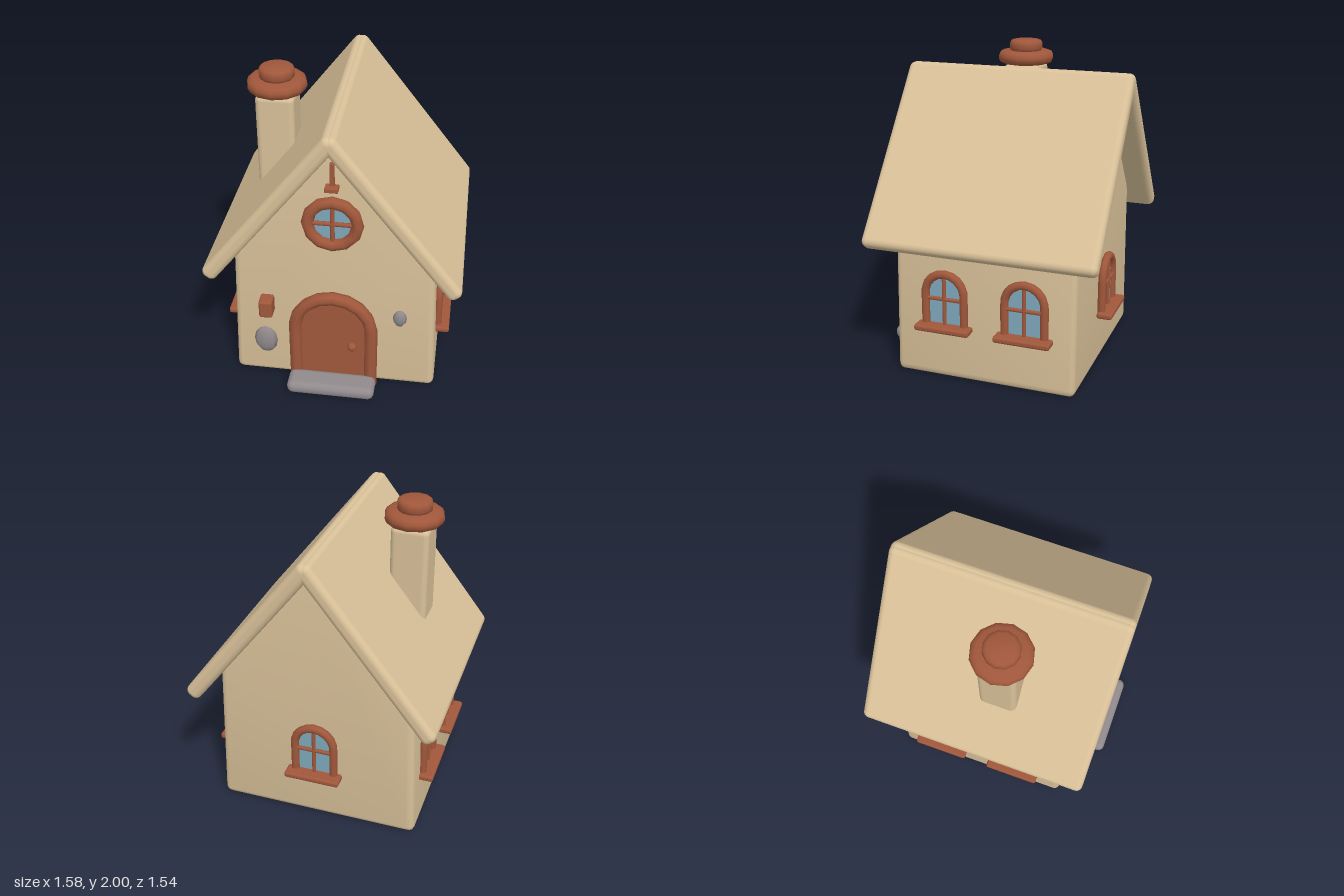
import * as THREE from 'three';
import { toCreasedNormals } from 'three/addons/utils/BufferGeometryUtils.js';
import { RoundedBoxGeometry } from 'three/addons/geometries/RoundedBoxGeometry.js';

const material = (name, color) => {
  const m = new THREE.MeshStandardMaterial({ color });
  m.name = name;
  return m;
};

// Upside-down U: two legs joined by a half circle
class ArchCurve extends THREE.Curve {
  constructor(radius, bottom, spring) {
    super();
    Object.assign(this, { radius, bottom, spring });
  }
  getPoint(t, target = new THREE.Vector3()) {
    const { radius: r, bottom, spring } = this;
    const leg = spring - bottom, arc = Math.PI * r;
    const d = t * (2 * leg + arc);
    if (d < leg) return target.set(r, bottom + d, 0);
    if (d > leg + arc) return target.set(-r, spring - (d - leg - arc), 0);
    const a = (d - leg) / r;
    return target.set(r * Math.cos(a), spring + r * Math.sin(a), 0);
  }
}

function archShape(r, bottom, spring) {
  const s = new THREE.Shape();
  s.moveTo(-r, bottom);
  s.lineTo(r, bottom);
  s.lineTo(r, spring);
  s.absarc(0, spring, r, 0, Math.PI, false);
  s.closePath();
  return s;
}

// Closed outline with softened corners
function roundedPolygon(points, r) {
  const v = points.map(([x, y]) => new THREE.Vector2(x, y));
  const toward = (a, b) => a.clone().add(b.clone().sub(a).setLength(r));
  const s = new THREE.Shape();
  v.forEach((p, i) => {
    const from = toward(p, v[(i + v.length - 1) % v.length]);
    const to = toward(p, v[(i + 1) % v.length]);
    if (i === 0) s.moveTo(from.x, from.y);
    else s.lineTo(from.x, from.y);
    s.quadraticCurveTo(p.x, p.y, to.x, to.y);
  });
  s.closePath();
  return s;
}

export function createModel() {
  const plaster = material('tan plaster', 0xd9c199);
  const wood = material('reddish brown', 0xa0573b);
  const glass = material('blue glass', 0x7fa9bc);
  const stone = material('grey stone', 0x918a8c);

  const house = new THREE.Group();
  house.name = 'cottage';

  const add = (parent, name, geometry, mat, x = 0, y = 0, z = 0) => {
    const m = new THREE.Mesh(geometry, mat);
    m.name = name;
    m.position.set(x, y, z);
    parent.add(m);
    return m;
  };
  const box = (w, h, d, r) => new RoundedBoxGeometry(w, h, d, 3, r);

  // Tube frame with closed feet
  const archFrame = (parent, name, r, tube, bottom, spring, z) => {
    const g = new THREE.TubeGeometry(new ArchCurve(r, bottom, spring), 18, tube, 8, false);
    add(parent, name, g, wood, 0, 0, z);
    for (const side of [-1, 1]) {
      add(parent, name + 'Foot', new THREE.CircleGeometry(tube, 8), wood, side * r, bottom, z)
        .rotation.x = Math.PI / 2;
    }
  };

  // Walls: slightly tapered gable block
  const outline = roundedPolygon(
    [[-0.655, 0], [0.655, 0], [0.62, 1.0], [0, 1.8], [-0.62, 1.0]], 0.05);
  const walls = new THREE.ExtrudeGeometry(outline, {
    depth: 1.1, bevelThickness: 0.035, bevelSize: 0.035, bevelOffset: -0.035,
    bevelSegments: 3, curveSegments: 4,
  });
  add(house, 'walls', toCreasedNormals(walls, 0.7), plaster, 0, 0, -0.575);

  // Roof slabs
  for (const side of [-1, 1]) {
    const slab = add(house, side < 0 ? 'rightRoof' : 'leftRoof',
      box(1.28, 0.1, 1.49, 0.04), plaster, side * 0.3735, 1.36, -0.025);
    slab.rotation.z = -side * Math.atan2(1.01, 0.787);
  }

  // Chimney with two rounded caps
  const chimney = new THREE.Group();
  chimney.name = 'chimney';
  chimney.position.set(-0.41, 0, 0.07);
  house.add(chimney);
  add(chimney, 'chimneyStack', box(0.24, 0.84, 0.24, 0.035), plaster, 0, 1.425, 0);
  const cap = (r, h, b) => {
    const profile = [[0, 0], [r - b, 0], [r - b * 0.3, b * 0.3], [r, b],
      [r, h - b], [r - b * 0.3, h - b * 0.3], [r - b, h], [0, h]];
    const g = new THREE.LatheGeometry(profile.map(([x, y]) => new THREE.Vector2(x, y)), 12);
    return toCreasedNormals(g, 0.9);
  };
  add(chimney, 'chimneyCap', cap(0.185, 0.085, 0.035), wood, 0, 1.845, 0);
  add(chimney, 'chimneyPot', cap(0.11, 0.08, 0.025), wood, 0, 1.92, 0);

  // Door
  const door = new THREE.Group();
  door.name = 'door';
  door.position.z = 0.56;
  house.add(door);
  archFrame(door, 'doorFrame', 0.243, 0.042, 0.005, 0.445, 0.035);
  add(door, 'doorPanel', new THREE.ExtrudeGeometry(archShape(0.235, 0.01, 0.445),
    { depth: 0.05, bevelEnabled: false, curveSegments: 8 }), wood, 0, 0, -0.01);
  add(door, 'doorKnob', new THREE.SphereGeometry(0.03, 12, 8), wood, 0.125, 0.33, 0.06);
  add(house, 'doorstep', box(0.565, 0.09, 0.17, 0.042), stone, 0, 0.055, 0.69);

  // Arched windows, each built facing +z
  const archedWindow = (name, x, z, turn) => {
    const w = new THREE.Group();
    w.name = name;
    w.position.set(x, 0, z);
    w.rotation.y = turn;
    house.add(w);
    archFrame(w, 'windowFrame', 0.127, 0.027, 0.36, 0.57, 0.02);
    add(w, 'windowPane', new THREE.ShapeGeometry(archShape(0.125, 0.36, 0.57), 8), glass, 0, 0, 0.017);
    add(w, 'windowUpright', new THREE.CylinderGeometry(0.013, 0.013, 0.33, 8), wood, 0, 0.53, 0.026);
    add(w, 'windowCrossbar', new THREE.CylinderGeometry(0.013, 0.013, 0.24, 8), wood, 0, 0.535, 0.026)
      .rotation.z = Math.PI / 2;
    add(w, 'windowSill', box(0.36, 0.04, 0.1, 0.015), wood, 0, 0.35, 0.05);
  };
  for (const side of [-1, 1]) {
    for (const z of [0.225, -0.295]) {
      archedWindow(side < 0 ? 'rightWindow' : 'leftWindow', side * 0.63, z, side * Math.PI / 2);
    }
  }
  archedWindow('backWindow', 0, -0.615, Math.PI);

  // Round attic window
  const attic = new THREE.Group();
  attic.name = 'atticWindow';
  attic.position.set(0, 1.24, 0.57);
  house.add(attic);
  add(attic, 'atticFrame', new THREE.TorusGeometry(0.152, 0.038, 8, 12), wood, 0, 0, 0.01);
  add(attic, 'atticPane', new THREE.CircleGeometry(0.15, 12), glass);
  for (const turn of [0, Math.PI / 2]) {
    add(attic, 'atticBar', new THREE.CylinderGeometry(0.014, 0.014, 0.25, 8), wood, 0, 0, 0.01)
      .rotation.z = turn;
  }

  // Gable ornament
  add(house, 'gableBar', box(0.027, 0.16, 0.03, 0.004), wood, 0, 1.575, 0.57);
  add(house, 'gableFoot', box(0.08, 0.028, 0.07, 0.004), wood, 0, 1.493, 0.585);

  // Letter box and wall stones
  add(house, 'letterBox', box(0.086, 0.125, 0.1, 0.015), wood, -0.422, 0.588, 0.6);
  for (const [x, y, rx, ry, rz] of [[-0.447, 0.277, 0.077, 0.105, 0.035], [0.42, 0.55, 0.044, 0.062, 0.03]]) {
    add(house, 'wallStone', new THREE.SphereGeometry(1, 8, 6), stone, x, y, 0.56).scale.set(rx, ry, rz);
  }

  return house;
}
